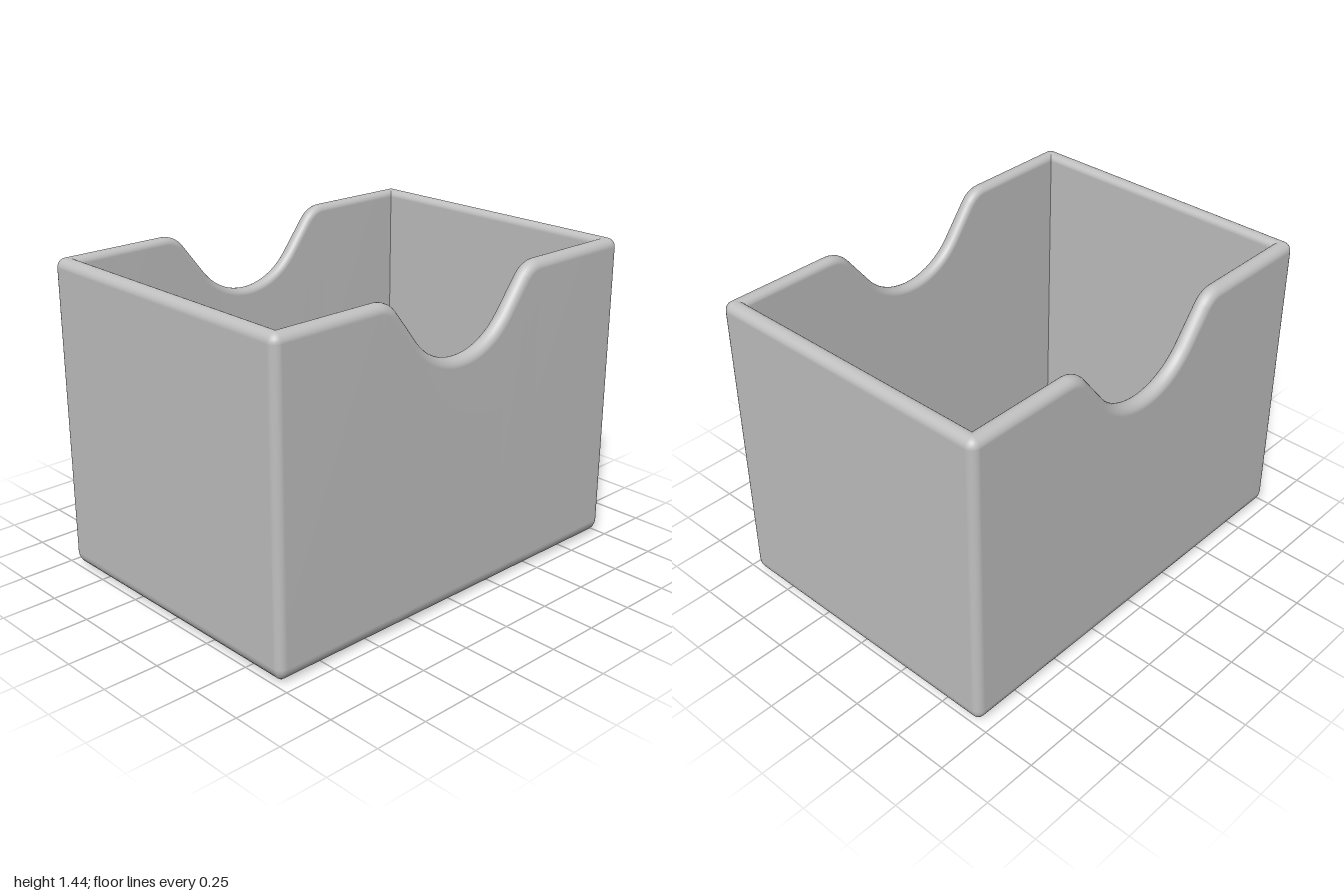
import * as THREE from 'three';

const HX = 1, HZ = 0.711, TOP = 1.437;          // half width, half depth, height
const EDGE = 0.04, BOTTOM = 0.07;               // edge radii
const WALL = 0.073, FLOOR = 0.075;              // thicknesses
const INNER = 0.03, FILLET = 0.01;              // inner rim and floor radii
const DIP = 0.32, R = 0.32, SHOULDER = 0.13, A = THREE.MathUtils.degToRad(52);

// Finger notch, from +x to -x: edge points with the outward normal of the rim
function notchStations() {
  const slope = (DIP - (R + SHOULDER) * (1 - Math.cos(A))) / Math.sin(A);
  const xe = (R + SHOULDER) * Math.sin(A) + slope * Math.cos(A);
  const out = [];
  const arc = (cx, cy, r, from, to, n) => {
    for (let i = 0; i <= n; i++) {
      const t = from + (to - from) * i / n;
      out.push({ x: cx - r * Math.sin(t), y: cy + r * Math.cos(t), nx: -Math.sin(t), ny: Math.cos(t) });
    }
  };
  arc(xe, TOP - SHOULDER, SHOULDER, 0, A, 10);
  arc(0, TOP - DIP + R, -R, A, -A, 28);
  arc(-xe, TOP - SHOULDER, SHOULDER, -A, 0, 10);
  return out;
}

// Stations round the box: four rounded corners plus the front and back notches
function makeStations() {
  const list = [];
  const corner = (sx, sz, start) => {
    for (let i = 0; i <= 6; i++) {
      const a = (start + i / 6) * Math.PI / 2;
      list.push({ corner: true, sx, sz, cos: Math.cos(a), sin: Math.sin(a) });
    }
  };
  const notch = notchStations();
  corner(1, 1, 0);
  notch.forEach(s => list.push({ ...s, sz: 1 }));
  corner(-1, 1, 1);
  corner(-1, -1, 2);
  [...notch].reverse().forEach(s => list.push({ ...s, sz: -1 }));
  corner(1, -1, 3);
  return list;
}

// Wall section from the underside, over the rim, down to the floor.
// d = inset from the outside; y = height, or drop = depth below the rim
function makeProfile() {
  const rows = [], n = 6;
  const quarter = fn => {
    for (let i = 0; i <= n; i++) {
      const t = i / n * Math.PI / 2;
      rows.push(fn(Math.sin(t), Math.cos(t)));
    }
  };
  quarter((s, c) => ({ d: BOTTOM * (1 - s), y: BOTTOM * (1 - c) }));
  quarter((s, c) => ({ d: EDGE * (1 - c), drop: EDGE * (1 - s) }));
  quarter((s, c) => ({ d: WALL - INNER * (1 - s), drop: INNER * (1 - c) }));
  quarter((s, c) => ({ d: WALL + FILLET * (1 - c), y: FLOOR + FILLET * (1 - s) }));
  return rows;
}

function place(st, row) {
  const onRim = row.drop !== undefined;
  if (st.corner) {
    const r = Math.max(EDGE - row.d, 0);
    return [
      st.sx * (HX - row.d - r) + st.cos * r,
      onRim ? TOP - row.drop : row.y,
      st.sz * (HZ - row.d - r) + st.sin * r,
    ];
  }
  const z = st.sz * (HZ - row.d);
  return onRim ? [st.x - st.nx * row.drop, st.y - st.ny * row.drop, z] : [st.x, row.y, z];
}

function shellGeometry() {
  const stations = makeStations(), rows = makeProfile();
  const n = stations.length, m = rows.length, pos = [], idx = [];
  for (const st of stations) for (const row of rows) pos.push(...place(st, row));
  pos.push(0, 0, 0, 0, FLOOR, 0);
  const under = n * m, floor = under + 1;
  for (let i = 0; i < n; i++) {
    const a = i * m, b = ((i + 1) % n) * m;
    for (let j = 0; j < m - 1; j++) {
      idx.push(a + j, a + j + 1, b + j, b + j, a + j + 1, b + j + 1);
    }
    idx.push(under, a, b, floor, b + m - 1, a + m - 1);   // underside and floor
  }
  const g = new THREE.BufferGeometry();
  g.setAttribute('position', new THREE.Float32BufferAttribute(pos, 3));
  g.setIndex(idx);
  g.computeVertexNormals();
  return g;
}

export function createModel() {
  const grey = new THREE.MeshStandardMaterial({ color: 0xc0c0c0 });
  grey.name = 'light grey';
  const box = new THREE.Mesh(shellGeometry(), grey);
  box.name = 'notchedOpenBox';
  const model = new THREE.Group();
  model.name = 'cardHolder';
  model.add(box);
  return model;
}
